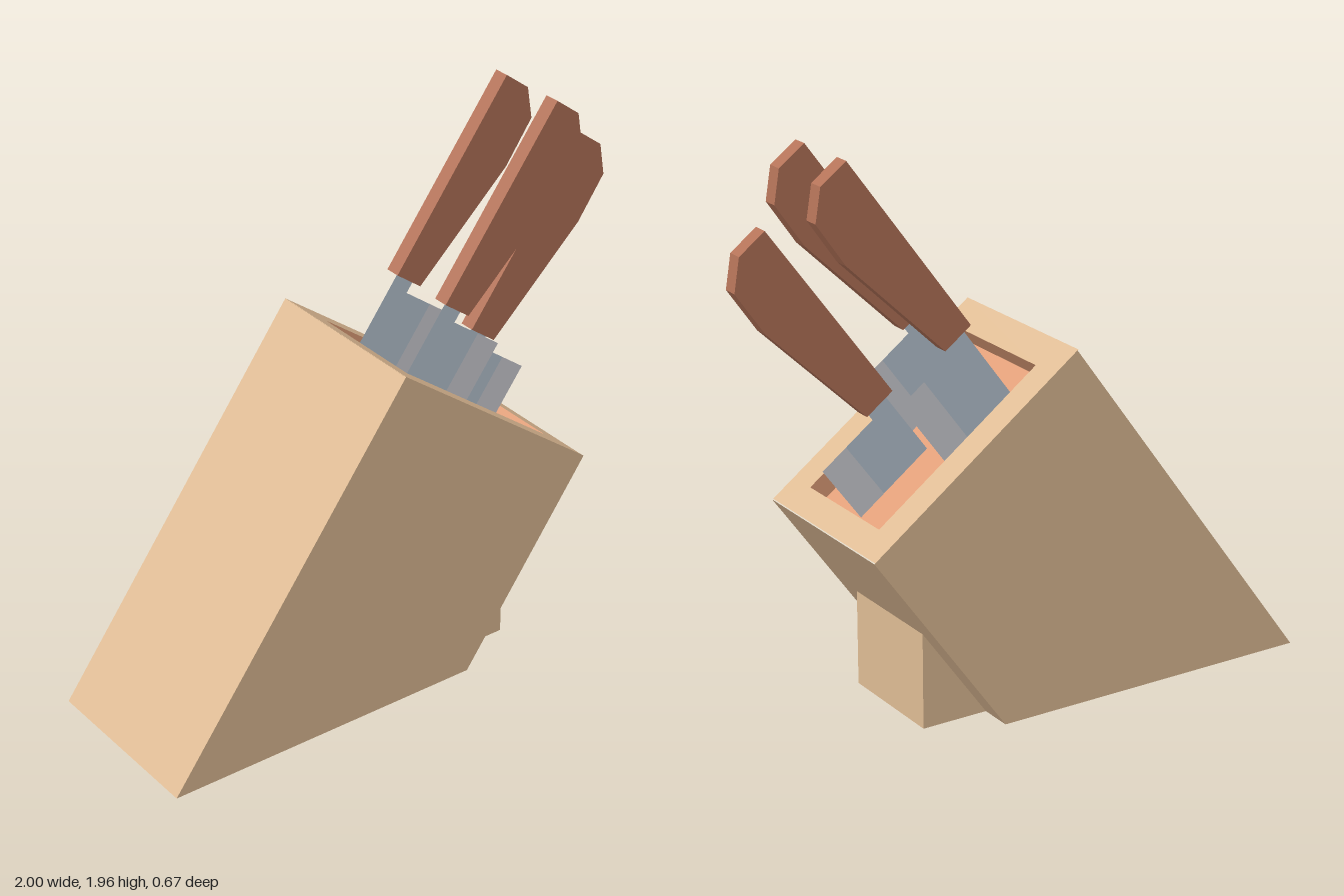
import * as THREE from 'three';

const WOOD = 0xdebb94, INSERT = 0xe09e78, HANDLE = 0xb37258, STEEL = 0xb9c6d3, EDGE = 0xcfd0d6;
const HALF = 0.333;                        // half depth of the block
const TILT = Math.atan2(0.57, 0.77);       // slope of the slotted face
const FACE = { from: -0.814, to: 0.144, y: 0.965 };
const POCKET = { from: -0.70, to: 0.044, half: 0.222, depth: 0.075 };

function mesh(name, geometry, color, side = THREE.FrontSide) {
  const m = new THREE.Mesh(geometry, new THREE.MeshStandardMaterial({ color, side, flatShading: true }));
  m.name = name;
  return m;
}

const shapeOf = (points) => new THREE.Shape(points.map(([x, y]) => new THREE.Vector2(x, y)));

// Flat outline extruded symmetrically about z = 0
function prism(points, depth) {
  return new THREE.ExtrudeGeometry(shapeOf(points), { depth, bevelEnabled: false }).translate(0, 0, -depth / 2);
}

// Removes the triangles that face a given direction
function withoutFace(source, dir) {
  const geo = source.index ? source.toNonIndexed() : source;
  const pos = geo.attributes.position, nor = geo.attributes.normal;
  const p = [], n = [], v = new THREE.Vector3();
  for (let i = 0; i < pos.count; i += 3) {
    if (v.fromBufferAttribute(nor, i).dot(dir) > 0.99) continue;
    for (let k = i; k < i + 3; k++) {
      p.push(pos.getX(k), pos.getY(k), pos.getZ(k));
      n.push(nor.getX(k), nor.getY(k), nor.getZ(k));
    }
  }
  const out = new THREE.BufferGeometry();
  out.setAttribute('position', new THREE.Float32BufferAttribute(p, 3));
  out.setAttribute('normal', new THREE.Float32BufferAttribute(n, 3));
  return out;
}

const rect = (x0, x1, h) => [[x0, -h], [x1, -h], [x1, h], [x0, h]];

function makeKnife() {
  const knife = new THREE.Group();
  knife.name = 'knife';
  knife.add(mesh('handle', prism([
    [-0.626, 1.214], [-0.506, 1.214], [-0.421, 1.704],
    [-0.426, 1.887], [-0.511, 1.969], [-0.626, 1.969],
  ], 0.056), HANDLE));
  // Paper-thin blade with a narrow neck, and a lighter cutting edge
  knife.add(mesh('blade', new THREE.ShapeGeometry(shapeOf([
    [-0.602, 0.80], [-0.395, 0.80], [-0.395, 1.172], [-0.52, 1.172], [-0.52, 1.216], [-0.602, 1.216],
  ])), STEEL, THREE.DoubleSide));
  knife.add(mesh('cuttingEdge', new THREE.ShapeGeometry(shapeOf([
    [-0.395, 0.80], [-0.285, 0.80], [-0.285, 1.172], [-0.395, 1.172],
  ])), EDGE, THREE.DoubleSide));
  return knife;
}

export function createModel() {
  const model = new THREE.Group();
  model.name = 'knifeBlock';

  // Leaning block, open on its sloping face
  const up = new THREE.Vector3(Math.sin(TILT), Math.cos(TILT), 0);
  const body = prism([[-1, 0], [0.2, 0], [0.694, 0.688], [-0.076, 1.258]], HALF * 2);
  model.add(mesh('block', withoutFace(body, up), WOOD));

  // Wedge foot under the overhang
  model.add(mesh('foot', prism([[0.2, 0], [0.445, 0], [0.445, 0.343]], 0.424), WOOD));

  // Everything below stands square to the sloping face
  const slope = new THREE.Group();
  slope.name = 'slopingFace';
  slope.rotation.z = -TILT;
  model.add(slope);

  // Rim around the pocket
  const rim = shapeOf(rect(FACE.from, FACE.to, HALF));
  rim.holes.push(shapeOf(rect(POCKET.from, POCKET.to, POCKET.half)));
  const rimMesh = mesh('rim', new THREE.ShapeGeometry(rim).rotateX(-Math.PI / 2), WOOD);
  rimMesh.position.y = FACE.y;
  slope.add(rimMesh);

  // Pocket walls and floor, seen from inside
  const box = new THREE.BoxGeometry(POCKET.to - POCKET.from, POCKET.depth, POCKET.half * 2);
  const pocket = mesh('pocket', withoutFace(box, new THREE.Vector3(0, 1, 0)), INSERT, THREE.DoubleSide);
  pocket.position.set((POCKET.from + POCKET.to) / 2, FACE.y - POCKET.depth / 2, 0);
  slope.add(pocket);

  // Two knives in the upper row, one in the lower row
  for (const [x, y, z] of [[0, 0, 0.13], [0, 0, -0.13], [0.306, -0.047, 0]]) {
    const knife = makeKnife();
    knife.position.set(x, y, z);
    slope.add(knife);
  }
  return model;
}
